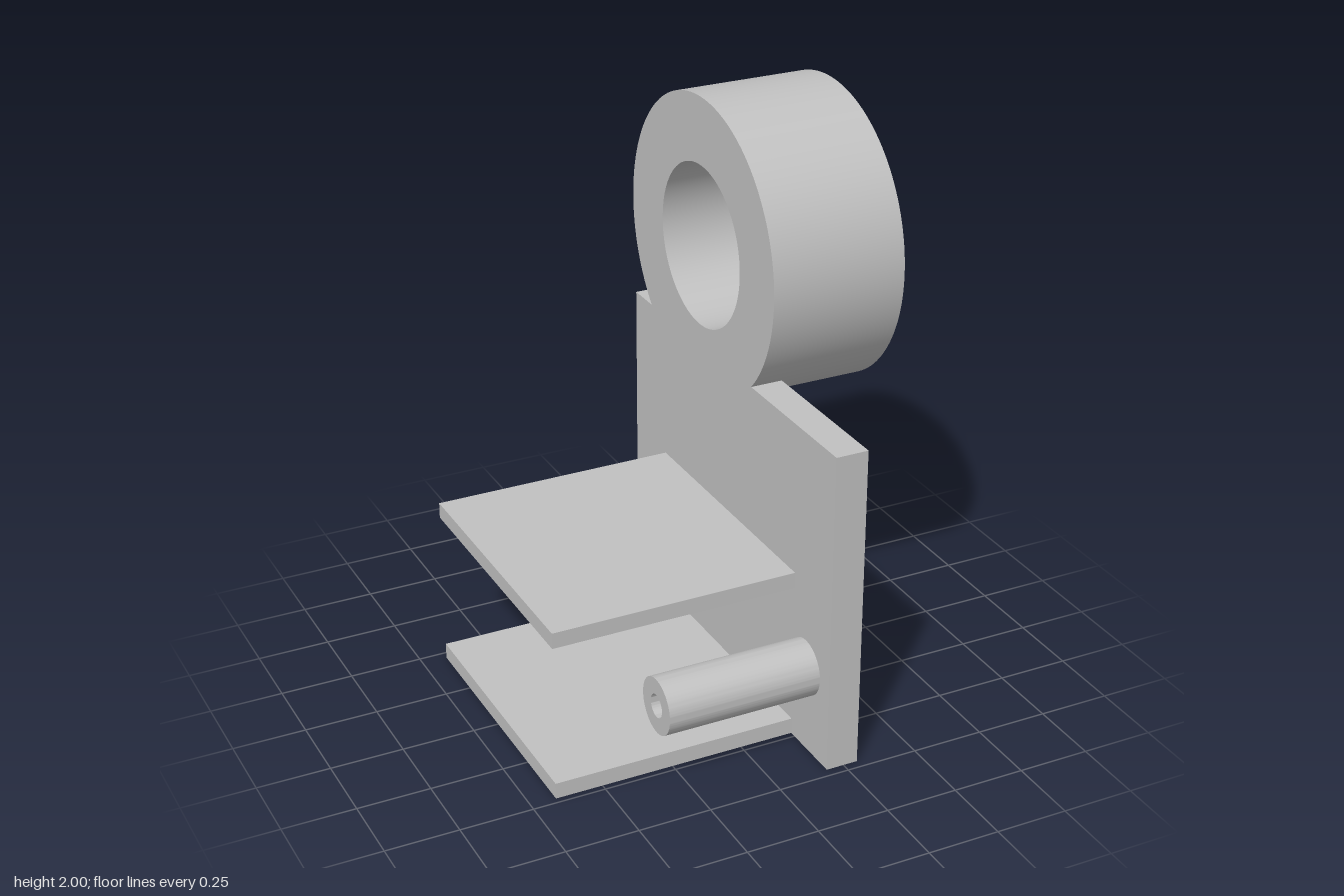
import * as THREE from 'three';
import { toCreasedNormals } from 'three/addons/utils/BufferGeometryUtils.js';

export function createModel() {
  const group = new THREE.Group();
  const grey = new THREE.MeshStandardMaterial({ color: 0xc0c0c0 });
  grey.name = 'plain grey';

  function add(name, geometry) {
    const mesh = new THREE.Mesh(geometry, grey);
    mesh.name = name;
    group.add(mesh);
    return mesh;
  }

  // Box given by its extents on each axis
  function box(name, [x0, x1], [y0, y1], [z0, z1]) {
    add(name, new THREE.BoxGeometry(x1 - x0, y1 - y0, z1 - z0))
      .position.set((x0 + x1) / 2, (y0 + y1) / 2, (z0 + z1) / 2);
  }

  // Hollow cylinder lying along x, from x0 to x1
  function tube(name, outer, inner, x0, x1, y, z) {
    const shape = new THREE.Shape().absarc(0, 0, outer, 0, Math.PI * 2, false);
    shape.holes.push(new THREE.Path().absarc(0, 0, inner, 0, Math.PI * 2, true));
    const extruded = new THREE.ExtrudeGeometry(shape, {
      depth: x1 - x0, bevelEnabled: false, curveSegments: 64,
    });
    extruded.rotateY(Math.PI / 2);
    add(name, toCreasedNormals(extruded, 0.5)).position.set(x0, y, z);
  }

  const face = 0.188; // side of the plate that carries the shelves and pins

  // Upright plate with the large ring on top
  box('backPlate', [face, 0.3], [0, 1.134], [-0.7, 0.718]);
  tube('ring', 0.511, 0.28, face, 0.659, 1.489, -0.207);

  // Two parallel shelves
  box('lowerShelf', [-0.663, face], [0, 0.056], [-0.468, 0.478]);
  box('upperShelf', [-0.663, face], [0.555, 0.61], [-0.468, 0.478]);

  // Hollow pins on either side of the shelves
  tube('leftPin', 0.097, 0.04, -0.347, face, 0.305, 0.56);
  tube('rightPin', 0.097, 0.04, -0.347, face, 0.305, -0.547);

  return group;
}
